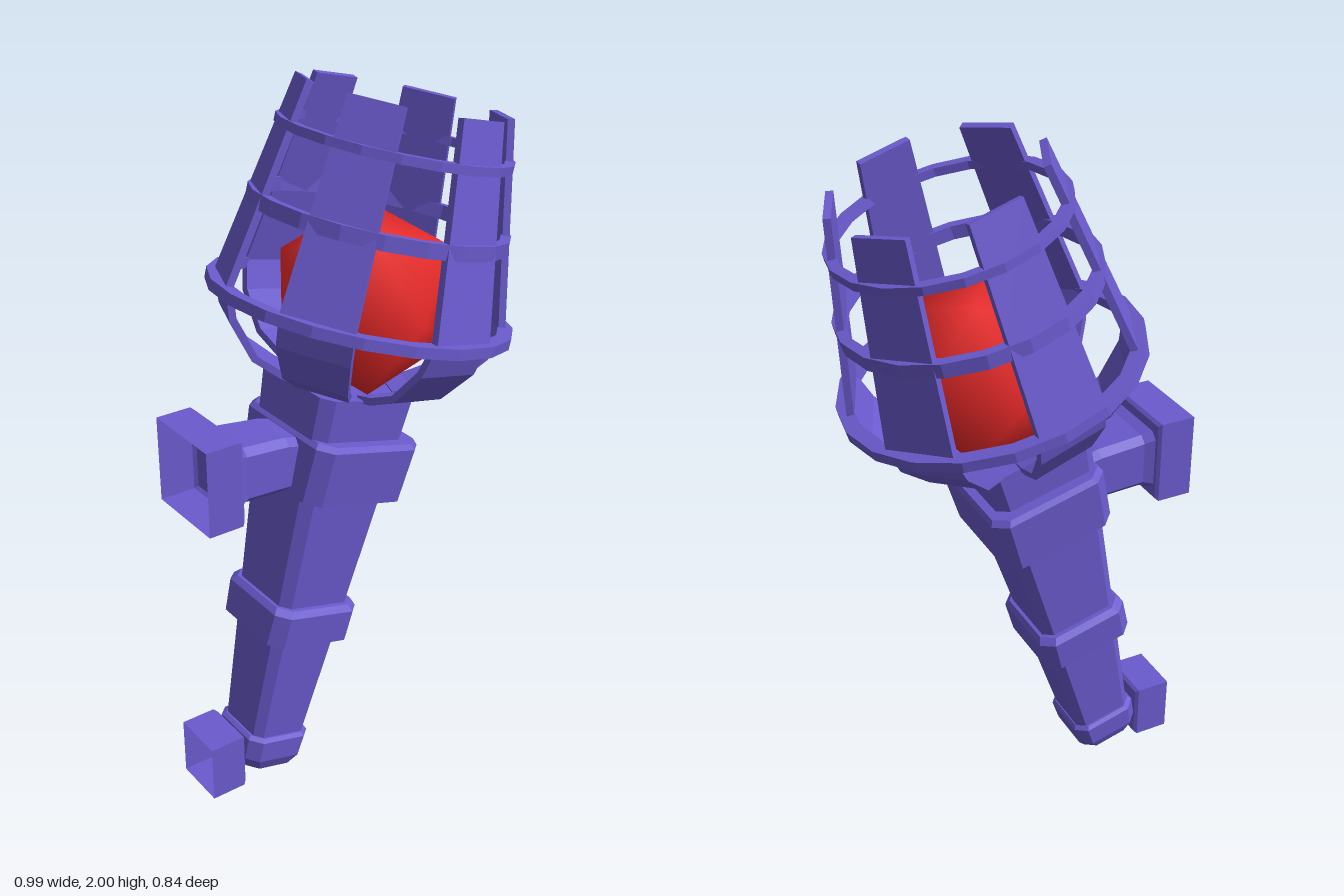
import * as THREE from 'three';
import { mergeVertices } from 'three/addons/utils/BufferGeometryUtils.js';

const violet = new THREE.MeshStandardMaterial({ color: 0x6a5acd, flatShading: true });
const violetOpen = new THREE.MeshStandardMaterial({ color: 0x6a5acd, flatShading: true, side: THREE.DoubleSide });
const red = new THREE.MeshStandardMaterial({ color: 0xee2a2a });

// Skin a stack of cross-sections (counter-clockwise seen from +y), with optional end caps
function loft(rings, capStart = true, capEnd = true) {
  const pos = [], n = rings[0].length, last = rings.length - 1;
  const tri = (a, b, c) => pos.push(...a, ...b, ...c);
  for (let k = 0; k < last; k++) {
    for (let i = 0; i < n; i++) {
      const j = (i + 1) % n, a = rings[k], b = rings[k + 1];
      tri(a[i], a[j], b[j]);
      tri(a[i], b[j], b[i]);
    }
  }
  for (let i = 1; i < n - 1; i++) {
    if (capStart) tri(rings[0][0], rings[0][i + 1], rings[0][i]);
    if (capEnd) tri(rings[last][0], rings[last][i], rings[last][i + 1]);
  }
  const g = new THREE.BufferGeometry();
  g.setAttribute('position', new THREE.Float32BufferAttribute(pos, 3));
  g.computeVertexNormals();
  return g;
}

// Rectangle with chamfered corners at height y; c = 0 gives a plain rectangle
function section(y, hx, hz, c = 0, cx = 0) {
  const pts = [];
  for (const [sx, sz] of [[1, 1], [1, -1], [-1, -1], [-1, 1]]) {
    const p = [cx + sx * (hx - c), y, sz * hz], q = [cx + sx * hx, y, sz * (hz - c)];
    if (c === 0) pts.push(p);
    else if (sx * sz > 0) pts.push(p, q);
    else pts.push(q, p);
  }
  return pts;
}

function add(parent, name, geometry, material = violet) {
  const m = new THREE.Mesh(geometry, material);
  m.name = name;
  parent.add(m);
  return m;
}

// Flat slat that follows a [radius, height, width] profile
function slatGeometry(profile, thickness) {
  return loft(profile.map(([r, y, w], i) => {
    const a = profile[Math.max(i - 1, 0)], b = profile[Math.min(i + 1, profile.length - 1)];
    const len = Math.hypot(b[0] - a[0], b[1] - a[1]);
    const ri = r - thickness * (b[1] - a[1]) / len, yi = y + thickness * (b[0] - a[0]) / len;
    return [[r, y, w / 2], [r, y, -w / 2], [ri, yi, -w / 2], [ri, yi, w / 2]];
  }));
}

// Hoop with a rectangular cross-section
function hoopGeometry(inner, outer, y, h) {
  const p = [[inner, -h], [outer, -h], [outer, h], [inner, h], [inner, -h]];
  return new THREE.LatheGeometry(p.map(([r, d]) => new THREE.Vector2(r, y + d)), 20);
}

export function createModel() {
  const model = new THREE.Group();
  model.name = 'wallTorch';

  // Everything along the leaning axis
  const torch = new THREE.Group();
  torch.name = 'torch';
  torch.position.set(-0.29, 0, 0);
  torch.rotation.z = -14.7 * Math.PI / 180;
  model.add(torch);

  // Handle
  add(torch, 'shaft', loft([
    section(0.1, 0.087, 0.088, 0.022, -0.01),
    section(1.22, 0.162, 0.165, 0.032, -0.014),
  ]));
  add(torch, 'endCap', loft([
    section(0.022, 0.05, 0.06, 0.02, -0.01),
    section(0.032, 0.08, 0.083, 0.03, -0.01),
    section(0.07, 0.1, 0.102, 0.032, -0.012),
    section(0.135, 0.104, 0.106, 0.032, -0.012),
    section(0.145, 0.095, 0.097, 0.03, -0.012),
  ]));
  add(torch, 'lowerCollar', loft([
    section(0.472, 0.142, 0.143, 0.035, -0.012),
    section(0.568, 0.142, 0.15, 0.035, -0.012),
    section(0.585, 0.13, 0.136, 0.035, -0.012),
  ]));
  add(torch, 'upperCollar', loft([
    section(0.925, 0.17, 0.185, 0.038),
    section(1.085, 0.175, 0.2, 0.038),
    section(1.1, 0.165, 0.19, 0.038),
  ]));

  // Cage: six slats and three hoops
  const cage = new THREE.Group();
  cage.name = 'cage';
  torch.add(cage);
  const slat = slatGeometry([
    [0.13, 1.205, 0.13], [0.19, 1.22, 0.15], [0.28, 1.262, 0.18],
    [0.36, 1.36, 0.2], [0.388, 1.45, 0.2], [0.335, 1.72, 0.175], [0.28, 2.0, 0.15],
  ], 0.02);
  for (let i = 0; i < 6; i++) {
    add(cage, 'slat' + (i + 1), slat).rotation.y = -(24 + 60 * i) * Math.PI / 180;
  }
  add(cage, 'largeHoop', hoopGeometry(0.38, 0.422, 1.44, 0.015));
  add(cage, 'middleHoop', hoopGeometry(0.328, 0.356, 1.68, 0.02));
  add(cage, 'topHoop', hoopGeometry(0.292, 0.32, 1.88, 0.012));

  // Faceted glowing core with softened shading
  let core = new THREE.IcosahedronGeometry(0.267, 0);
  core.deleteAttribute('normal');
  core.deleteAttribute('uv');
  core = mergeVertices(core, 1e-4);
  core.computeVertexNormals();
  core.rotateZ(Math.PI / 2).rotateY(-34 * Math.PI / 180);
  add(model, 'core', core, red).position.set(0.095, 1.407, 0);

  // Wall mounts: shells open towards the wall, turned from +y to -x
  const mount = (name, y, hy, hz) => add(model, name, loft([
    section(0.383, hy - 0.008, hz - 0.008, 0, y),
    section(0.392, hy, hz, 0, y),
    section(0.495, hy, hz, 0, y),
  ], true, false).rotateZ(Math.PI / 2), violetOpen);
  mount('upperMount', 1.04, 0.124, 0.125);
  mount('lowerMount', 0.098, 0.087, 0.08);

  // Arm joining the upper collar to its mount
  add(model, 'arm', loft([
    section(0.12, 0.075, 0.085, 0.02, 1.0),
    section(0.22, 0.08, 0.088, 0.02, 1.022),
    section(0.355, 0.082, 0.095, 0.02, 1.035),
    section(0.385, 0.092, 0.108, 0.02, 1.038),
  ]).rotateZ(Math.PI / 2));

  return model;
}
